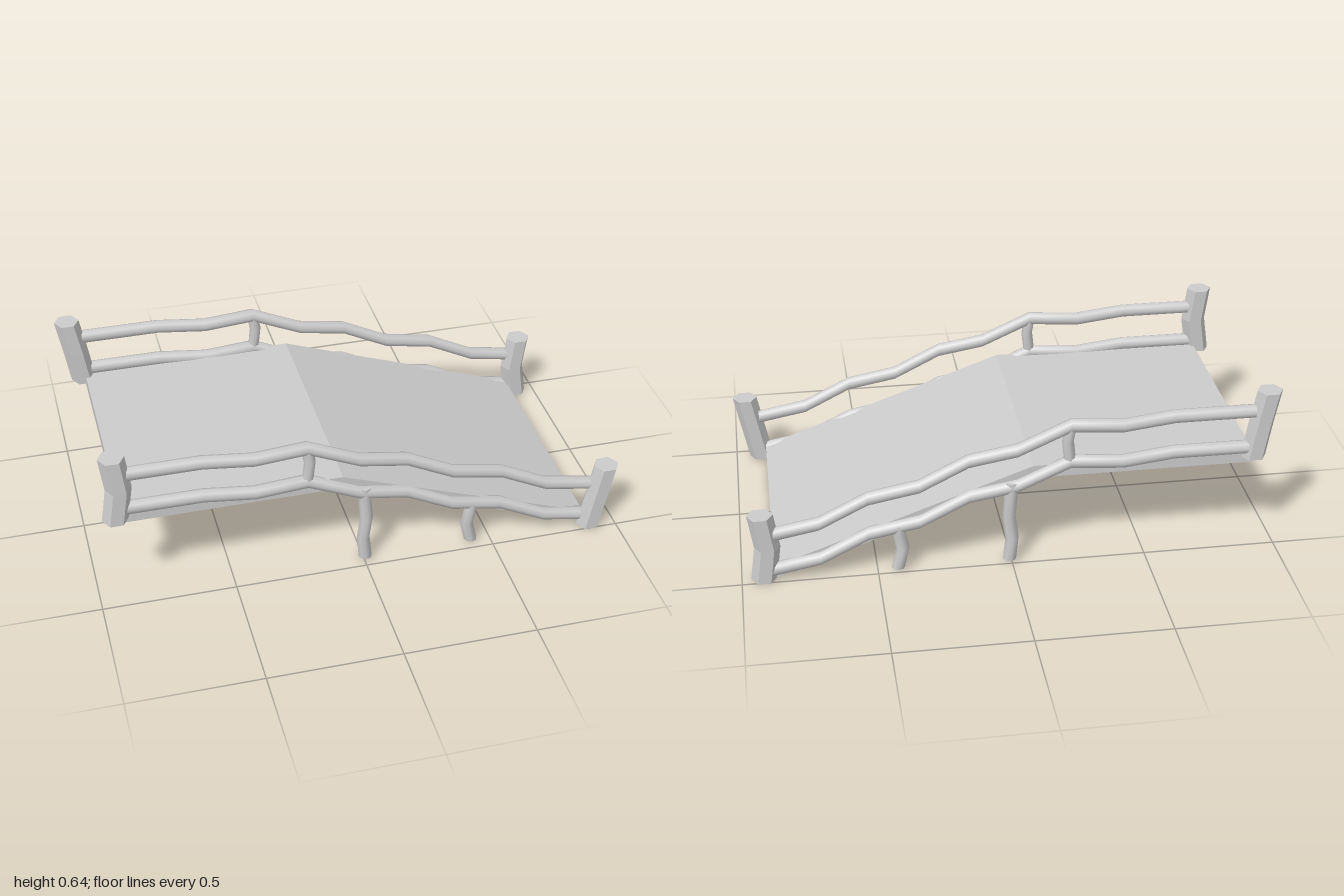
import * as THREE from 'three';
import { toCreasedNormals } from 'three/addons/utils/BufferGeometryUtils.js';

const FRONT_Z = 0.45, BACK_Z = -0.472;
const smoothMat = new THREE.MeshStandardMaterial({ color: 0xcccccc });
const flatMat = new THREE.MeshStandardMaterial({ color: 0xcccccc, flatShading: true });
const sheetMat = new THREE.MeshStandardMaterial({ color: 0xcccccc, flatShading: true, side: THREE.DoubleSide });

// Cylinder whose rings are moved to the given centres (top ring first)
function bentColumn(centres, radius, sides, thetaStart = 0) {
  const rings = centres.length - 1;
  const geo = new THREE.CylinderGeometry(radius, radius, rings, sides, rings, false, thetaStart);
  const p = geo.attributes.position;
  for (let i = 0; i < p.count; i++) {
    const [x, y, z] = centres[Math.round(rings / 2 - p.getY(i))];
    p.setXYZ(i, p.getX(i) + x, y, p.getZ(i) + z);
  }
  return toCreasedNormals(geo, 1.0);
}

// Round rail along x, its upright sections following the points
function rail(points, z, drop) {
  const n = points.length - 1;
  const geo = new THREE.CylinderGeometry(0.026, 0.026, n, 8, n);
  geo.rotateZ(-Math.PI / 2); // top ring now lies at +x
  const p = geo.attributes.position;
  for (let i = 0; i < p.count; i++) {
    const [x, y] = points[Math.round(p.getX(i) + n / 2)];
    p.setXYZ(i, x, p.getY(i) + y - drop, p.getZ(i) + z);
  }
  return toCreasedNormals(geo, 1.0);
}

// Bent sheet with a thin skirt all round, open underneath
function deckGeometry() {
  const profile = [[-0.9, 0.395], [-0.08, 0.395], [0.88, 0.05]];
  const t = 0.05, pos = [];
  const quad = (a, b, c, d) => pos.push(...a, ...b, ...c, ...a, ...c, ...d);
  for (let i = 0; i < 2; i++) {
    const [x0, y0] = profile[i], [x1, y1] = profile[i + 1];
    quad([x0, y0, FRONT_Z], [x1, y1, FRONT_Z], [x1, y1, BACK_Z], [x0, y0, BACK_Z]);
    quad([x0, y0 - t, FRONT_Z], [x1, y1 - t, FRONT_Z], [x1, y1, FRONT_Z], [x0, y0, FRONT_Z]);
    quad([x1, y1 - t, BACK_Z], [x0, y0 - t, BACK_Z], [x0, y0, BACK_Z], [x1, y1, BACK_Z]);
  }
  const [hx, hy] = profile[0], [lx, ly] = profile[2];
  quad([hx, hy - t, BACK_Z], [hx, hy - t, FRONT_Z], [hx, hy, FRONT_Z], [hx, hy, BACK_Z]);
  quad([lx, ly - t, FRONT_Z], [lx, ly - t, BACK_Z], [lx, ly, BACK_Z], [lx, ly, FRONT_Z]);
  const geo = new THREE.BufferGeometry();
  geo.setAttribute('position', new THREE.Float32BufferAttribute(pos, 3));
  geo.computeVertexNormals();
  return geo;
}

export function createModel() {
  const model = new THREE.Group();
  model.name = 'rampBridge';
  const add = (name, geo, mat) => {
    const mesh = new THREE.Mesh(geo, mat);
    mesh.name = name;
    model.add(mesh);
  };

  add('deck', deckGeometry(), sheetMat);

  // Rails, struts and support poles on both sides
  const path = [[-0.9, 0.56], [-0.6, 0.56], [-0.41, 0.537], [-0.215, 0.552], [-0.02, 0.465],
    [0.16, 0.435], [0.34, 0.345], [0.53, 0.31], [0.71, 0.22], [0.9, 0.185]];
  for (const [side, z] of [['front', FRONT_Z], ['back', BACK_Z]]) {
    add(side + 'UpperRail', rail(path, z, 0), smoothMat);
    add(side + 'LowerRail', rail(path, z, 0.148), smoothMat);
    add(side + 'RailStrut', bentColumn(
      [[-0.215, 0.55, z], [-0.205, 0.49, z], [-0.215, 0.4, z]], 0.022, 8), smoothMat);
    add(side + 'TallSupport', bentColumn(
      [[0, 0.335, z], [0.003, 0.28, z], [0.01, 0.19, z], [-0.002, 0.1, z], [0.007, 0.007, z]], 0.025, 8), smoothMat);
    add(side + 'ShortSupport', bentColumn(
      [[0.42, 0.19, z], [0.418, 0.15, z], [0.405, 0.09, z], [0.424, 0.007, z]], 0.025, 8), smoothMat);
  }

  // Hexagonal corner posts
  const posts = {
    frontHighPost: [[-0.917, 0.64, 0.452], [-0.9, 0.505, 0.455], [-0.92, 0.37, 0.455]],
    backHighPost: [[-0.952, 0.64, -0.468], [-0.927, 0.505, -0.465], [-0.905, 0.37, -0.465]],
    frontLowPost: [[0.952, 0.27, 0.463], [0.925, 0.135, 0.463], [0.898, 0, 0.463]],
    backLowPost: [[0.92, 0.27, -0.467], [0.9, 0.135, -0.465], [0.918, 0, -0.465]],
  };
  for (const [name, centres] of Object.entries(posts)) {
    add(name, bentColumn(centres, 0.048, 6, Math.PI / 6), flatMat);
  }
  return model;
}
